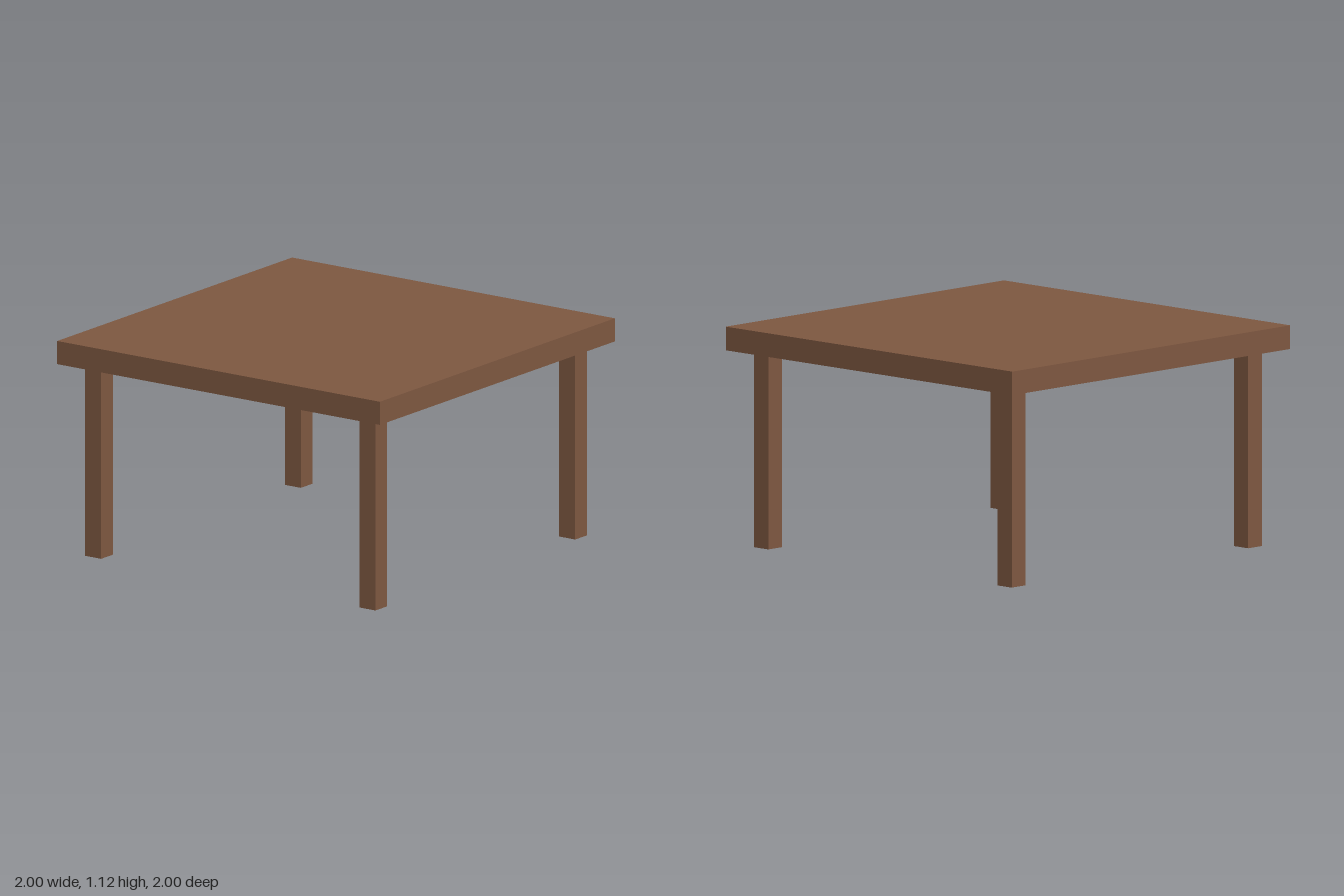
import * as THREE from 'three';

export function createModel() {
  const table = new THREE.Group();
  table.name = 'table';
  const wood = new THREE.MeshStandardMaterial({ color: 0x7d5740 });
  wood.name = 'brown wood';

  const legHeight = 1.0;
  const topThickness = 0.12;

  // Square slab top
  const top = new THREE.Mesh(new THREE.BoxGeometry(2, topThickness, 2), wood);
  top.name = 'tableTop';
  top.position.y = legHeight + topThickness / 2;
  table.add(top);

  // Four square legs, set in from the corners
  const legGeometry = new THREE.BoxGeometry(0.1, legHeight, 0.1);
  for (const [zName, z] of [['front', 0.85], ['back', -0.85]]) {
    for (const [xName, x] of [['Left', 0.85], ['Right', -0.85]]) {
      const leg = new THREE.Mesh(legGeometry, wood);
      leg.name = `${zName}${xName}Leg`;
      leg.position.set(x, legHeight / 2, z);
      table.add(leg);
    }
  }
  return table;
}
